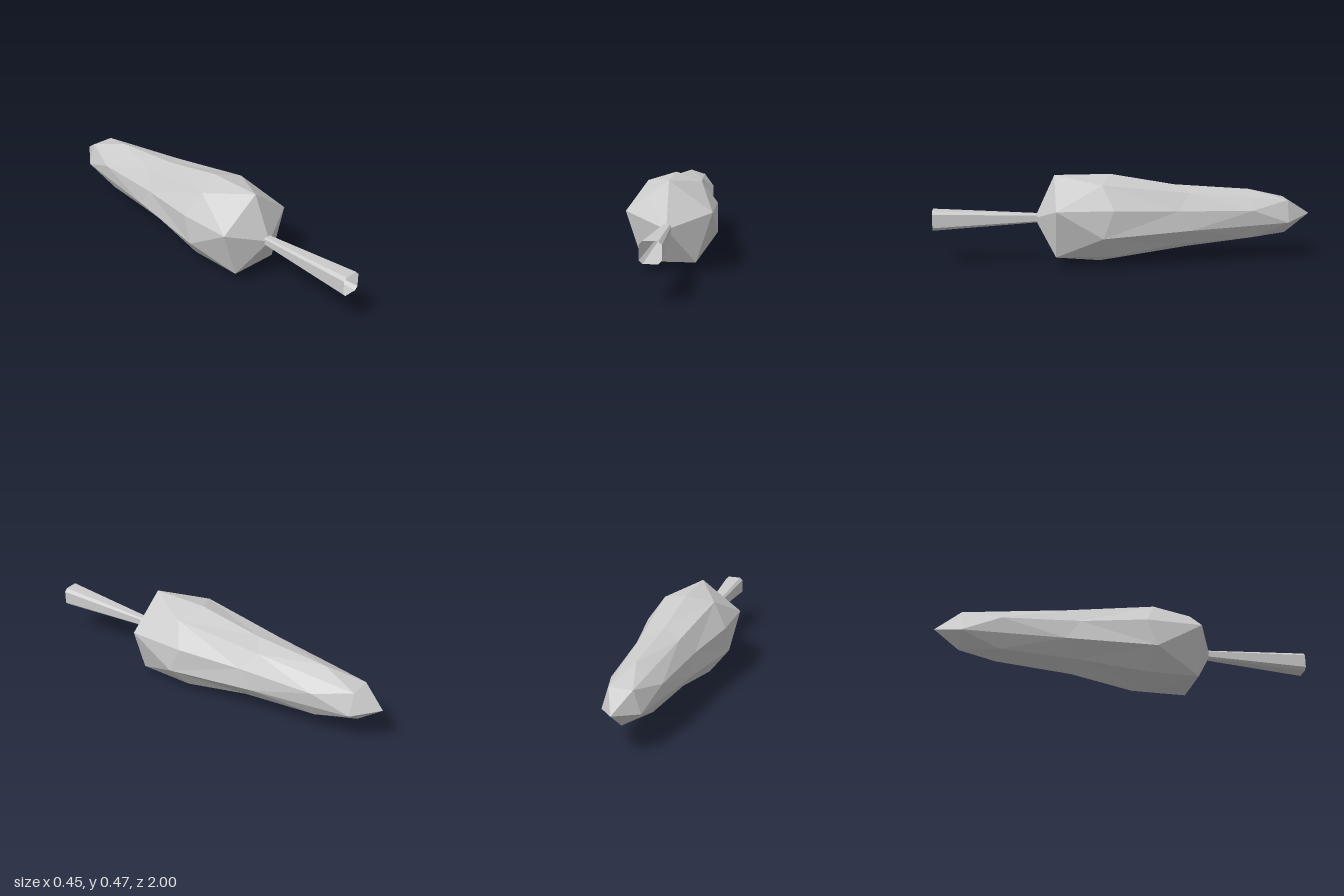
import * as THREE from 'three';

const AXIS_Y = 0.238;
const SIDES = 10;

// Build a flat-sided skin through rings of points; diag[i] is the parity of
// the corner in ring i from which the quads are split.
function skin(rings, diag) {
  const n = rings[0].length, pos = [];
  const tri = (a, b, c) => pos.push(...a, ...b, ...c);
  for (let i = 0; i < rings.length - 1; i++) {
    for (let k = 0; k < n; k++) {
      const a = rings[i][k], b = rings[i][(k + 1) % n];
      const c = rings[i + 1][k], d = rings[i + 1][(k + 1) % n];
      if (k % 2 === diag[i]) { tri(a, c, d); tri(a, d, b); }
      else { tri(a, c, b); tri(b, c, d); }
    }
  }
  const g = new THREE.BufferGeometry();
  g.setAttribute('position', new THREE.Float32BufferAttribute(pos, 3));
  g.computeVertexNormals();
  return g;
}

// Even corners start at the top, odd corners lie between them.
function bodyRing([zEven, rEven, zOdd, rOdd]) {
  return Array.from({ length: SIDES }, (_, k) => {
    const a = Math.PI / 2 + (k * 2 * Math.PI) / SIDES;
    const r = k % 2 ? rOdd : rEven;
    return [Math.cos(a) * r, AXIS_Y + Math.sin(a) * r, k % 2 ? zOdd : zEven];
  });
}

// Chamfered square outline of the tube
function tubeRing(z, h) {
  const c = h * 0.68;
  return [[h, c], [c, h], [-c, h], [-h, c], [-h, -c], [-c, -h], [c, -h], [h, -c]]
    .map(([x, y]) => [x, AXIS_Y + 0.002 + y, z]);
}

export function createModel() {
  const group = new THREE.Group();
  const add = (name, geometry, side) => {
    const mesh = new THREE.Mesh(geometry,
      new THREE.MeshStandardMaterial({ color: 0xcccccc, flatShading: true, side }));
    mesh.name = name;
    group.add(mesh);
  };
  const mid = Math.cos(Math.PI / 5);

  // Tapered faceted body, from front point to back point
  const profile = [
    [0.47, 0.001, 0.47, 0.001 * mid],
    [0.365, 0.228, 0.365, 0.228 * mid],
    [0.07, 0.229, 0.125, 0.236],
    [-0.27, 0.168, -0.34, 0.168],
    [-0.67, 0.137, -0.67, 0.128],
    [-0.87, 0.103 * mid, -0.87, 0.103],
    [-1, 0.001 * mid, -1, 0.001],
  ];
  add('body', skin(profile.map(bodyRing), [0, 0, 1, 1, 0, 1]), THREE.DoubleSide);

  // Open flared tube at the front
  add('tube', skin([tubeRing(1, 0.052), tubeRing(0.45, 0.022)], [0]), THREE.DoubleSide);

  return group;
}
